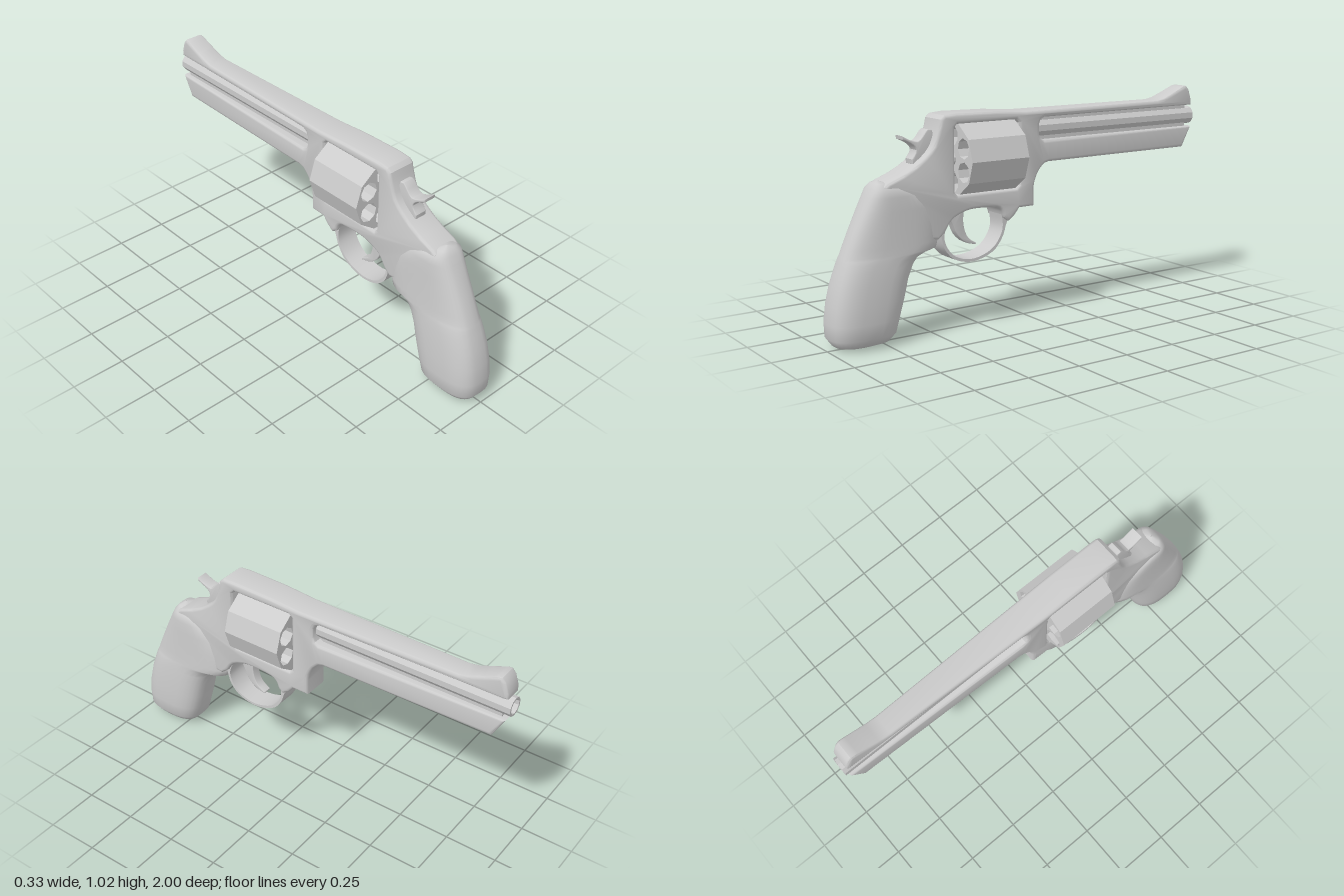
import * as THREE from 'three';
import { toCreasedNormals } from 'three/addons/utils/BufferGeometryUtils.js';

const grey = new THREE.MeshStandardMaterial({ color: 0xcccccc, side: THREE.DoubleSide });
const flatGrey = new THREE.MeshStandardMaterial({ color: 0xcccccc, side: THREE.DoubleSide, flatShading: true });

const vectors = (points) => points.map(([a, b]) => new THREE.Vector2(a, b));
const smooth = (points, n) => new THREE.SplineCurve(vectors(points)).getPoints(n);

// Extrudes a side profile given as (z, y) symmetrically across x
function sidePlate(shape, halfWidth, bevel) {
  const geo = new THREE.ExtrudeGeometry(shape, {
    depth: 2 * (halfWidth - bevel), bevelEnabled: bevel > 0, bevelThickness: bevel,
    bevelSize: bevel, bevelOffset: -bevel, bevelSegments: 3, curveSegments: 8,
  });
  geo.translate(0, 0, bevel - halfWidth);
  geo.rotateY(-Math.PI / 2);
  return geo;
}

function add(group, name, geo, material = grey) {
  const mesh = new THREE.Mesh(geo, material);
  mesh.name = name;
  group.add(mesh);
  return mesh;
}

// Frame, top strap, rib with front sight and under-lug in one profile
function frameGeometry() {
  const shape = new THREE.Shape([
    ...vectors([[0.73, 0.7]]),
    ...smooth([[0.66, 0.727], [0.59, 0.765], [0.515, 0.83], [0.48, 0.92]], 10),
    ...vectors([[0.474, 0.95], [0.455, 0.967], [0.4, 0.972], [0.19, 0.968], [0.03, 0.957], [-0.76, 0.958]]),
    ...smooth([[-0.8, 0.966], [-0.87, 0.993], [-0.93, 1.018]], 6),
    ...vectors([[-0.95, 1.02], [-0.968, 1.0], [-0.985, 0.95], [-0.985, 0.925],
      [-0.075, 0.925], [-0.055, 0.915], [-0.046, 0.895], [-0.046, 0.85], [-0.055, 0.83], [-0.075, 0.82],
      [-0.985, 0.82], [-0.93, 0.72], [-0.1, 0.72]]),
    ...smooth([[-0.075, 0.714], [-0.045, 0.685], [-0.022, 0.64], [-0.015, 0.6]], 6),
    ...vectors([[-0.015, 0.525], [0.065, 0.525], [0.09, 0.495], [0.125, 0.47]]),
    ...smooth([[0.15, 0.49], [0.165, 0.525], [0.2, 0.541], [0.3, 0.546], [0.36, 0.537], [0.42, 0.51], [0.455, 0.46]], 16),
    ...vectors([[0.49, 0.43], [0.58, 0.44], [0.75, 0.62], [0.75, 0.685]]),
  ]);
  // Cylinder window
  shape.holes.push(new THREE.Path(vectors([[0.068, 0.63], [0.083, 0.615], [0.39, 0.615], [0.405, 0.63],
    [0.405, 0.91], [0.39, 0.925], [0.083, 0.925], [0.068, 0.91]])));
  const geo = sidePlate(shape, 0.072, 0.015);
  // Narrow towards the muzzle
  const p = geo.attributes.position;
  for (let i = 0; i < p.count; i++) {
    const t = THREE.MathUtils.clamp((0.1 - p.getZ(i)) / 1.1, 0, 1);
    p.setX(i, p.getX(i) * (1 - 0.34 * t));
  }
  return toCreasedNormals(geo, 0.6);
}

// Ten-sided cylinder with six open chambers
function cylinderGeometry() {
  const ring = (n, r, cx, cy, turn = 0) => Array.from({ length: n }, (_, i) => {
    const a = turn + (i / n) * Math.PI * 2;
    return new THREE.Vector2(cx + r * Math.cos(a), cy + r * Math.sin(a));
  });
  const shape = new THREE.Shape(ring(10, 0.163, 0, 0));
  for (let i = 0; i < 6; i++) {
    const a = Math.PI / 6 + (i * Math.PI) / 3;
    shape.holes.push(new THREE.Path(ring(8, 0.046, 0.104 * Math.cos(a), 0.104 * Math.sin(a), a + Math.PI / 8)));
  }
  const geo = new THREE.ExtrudeGeometry(shape, { depth: 0.295, bevelEnabled: false });
  return geo.translate(0, 0.767, 0.08);
}

// Grip lofted from rounded sections: height, front z, back z, half width
function gripGeometry() {
  const sections = [
    [0.004, 0.83, 0.84, 0.002], [0.006, 0.77, 0.92, 0.045], [0.02, 0.72, 0.968, 0.08], [0.055, 0.69, 0.993, 0.106],
    [0.12, 0.672, 0.996, 0.111], [0.2, 0.648, 0.986, 0.11], [0.28, 0.627, 0.967, 0.106], [0.34, 0.6, 0.946, 0.101],
    [0.37, 0.575, 0.935, 0.098], [0.387, 0.53, 0.929, 0.096], [0.398, 0.482, 0.924, 0.095], [0.43, 0.472, 0.911, 0.093],
    [0.5, 0.48, 0.88, 0.09], [0.58, 0.512, 0.841, 0.088], [0.64, 0.575, 0.81, 0.086], [0.675, 0.65, 0.79, 0.077],
    [0.697, 0.715, 0.772, 0.045], [0.706, 0.745, 0.75, 0.002],
  ];
  const n = 32, pos = [], index = [];
  const bulge = (v) => Math.sign(v) * Math.abs(v) ** 0.72;
  sections.forEach(([y, front, back, w], i) => {
    for (let j = 0; j < n; j++) {
      const a = (j / n) * Math.PI * 2;
      pos.push(w * bulge(Math.cos(a)), y, (front + back) / 2 + ((back - front) / 2) * bulge(Math.sin(a)));
      if (i === 0) continue;
      const c = i * n + j, d = i * n + ((j + 1) % n);
      index.push(c - n, c, d - n, d - n, c, d);
    }
  });
  const geo = new THREE.BufferGeometry();
  geo.setAttribute('position', new THREE.Float32BufferAttribute(pos, 3));
  geo.setIndex(index);
  geo.computeVertexNormals();
  return geo;
}

export function createModel() {
  const model = new THREE.Group();
  model.name = 'revolver';

  add(model, 'frame', frameGeometry());
  add(model, 'grip', gripGeometry());
  add(model, 'cylinder', cylinderGeometry(), flatGrey);

  // Axle of the cylinder
  const axle = new THREE.CylinderGeometry(0.028, 0.028, 0.35, 10).rotateX(Math.PI / 2);
  add(model, 'cylinderAxle', axle, flatGrey).position.set(0, 0.767, 0.236);

  // Barrel tube with an open bore, and the web that holds it in its slot
  const barrel = new THREE.LatheGeometry(
    vectors([[0.044, 0.03], [0.044, 1], [0.034, 1], [0.034, 0.7], [0, 0.7]]), 10).rotateX(-Math.PI / 2);
  add(model, 'barrel', barrel, flatGrey).position.y = 0.872;
  add(model, 'barrelWeb', new THREE.BoxGeometry(0.05, 0.11, 0.92)).position.set(0, 0.872, -0.5);

  // Trigger guard band
  const guard = new THREE.Shape([
    ...smooth([[0.09, 0.5], [0.125, 0.465], [0.146, 0.405], [0.19, 0.347], [0.26, 0.315], [0.33, 0.308],
      [0.4, 0.328], [0.445, 0.37], [0.464, 0.42], [0.475, 0.48]], 28),
    ...smooth([[0.43, 0.5], [0.449, 0.46], [0.452, 0.42], [0.433, 0.377], [0.395, 0.34], [0.33, 0.32],
      [0.26, 0.328], [0.198, 0.358], [0.158, 0.41], [0.147, 0.46], [0.16, 0.53]], 28),
  ]);
  add(model, 'triggerGuard', toCreasedNormals(sidePlate(guard, 0.052, 0), 0.6));

  // Trigger
  const trigger = new THREE.Shape([
    ...smooth([[0.33, 0.56], [0.336, 0.48], [0.315, 0.415], [0.27, 0.382]], 10),
    ...smooth([[0.272, 0.375], [0.325, 0.39], [0.368, 0.43], [0.39, 0.48], [0.42, 0.53]], 10),
  ]);
  add(model, 'trigger', toCreasedNormals(sidePlate(trigger, 0.022, 0.003), 0.6));

  // Hammer with its thumb spur
  const hammer = new THREE.Shape([
    ...vectors([[0.46, 0.8], [0.55, 0.74], [0.592, 0.765]]),
    ...smooth([[0.594, 0.785], [0.572, 0.82], [0.59, 0.848], [0.638, 0.872]], 8),
    ...smooth([[0.64, 0.888], [0.6, 0.868], [0.56, 0.86], [0.527, 0.897]], 8),
    ...vectors([[0.515, 0.908], [0.495, 0.905]]),
  ]);
  add(model, 'hammer', toCreasedNormals(sidePlate(hammer, 0.03, 0.004), 0.6));

  return model;
}
